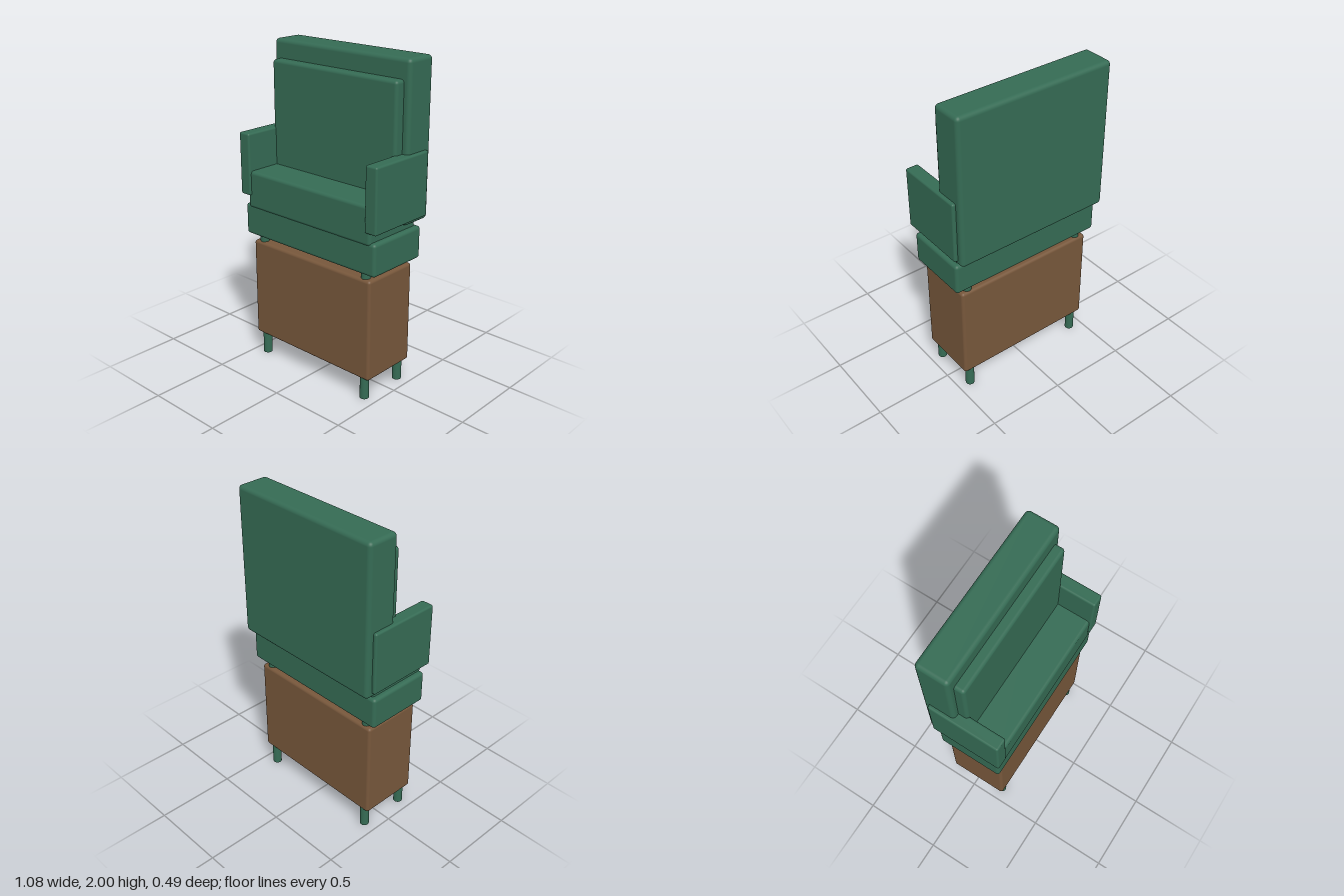
import * as THREE from 'three';
import { RoundedBoxGeometry } from 'three/addons/geometries/RoundedBoxGeometry.js';

export function createModel() {
  const group = new THREE.Group();
  group.name = 'armchairOnCrate';

  const green = new THREE.MeshStandardMaterial({ color: 0x356b54 });
  green.name = 'green upholstery';
  const brown = new THREE.MeshStandardMaterial({ color: 0x77573b });
  brown.name = 'brown wood';

  // Soft-edged block given by its extents on each axis
  function block(name, material, [x0, x1], [y0, y1], [z0, z1], radius) {
    const geometry = new RoundedBoxGeometry(x1 - x0, y1 - y0, z1 - z0, 3, radius);
    const mesh = new THREE.Mesh(geometry, material);
    mesh.name = name;
    mesh.position.set((x0 + x1) / 2, (y0 + y1) / 2, (z0 + z1) / 2);
    group.add(mesh);
  }

  // Lower box and seat base
  block('crate', brown, [-0.473, 0.473], [0.14, 0.78], [-0.168, 0.213], 0.018);
  block('seatBase', green, [-0.52, 0.52], [0.82, 1.02], [-0.185, 0.23], 0.02);

  // Cushions and backrest
  block('seatCushion', green, [-0.488, 0.488], [1.0, 1.235], [-0.168, 0.235], 0.02);
  block('backrest', green, [-0.518, 0.518], [1.05, 2.0], [-0.247, -0.043], 0.025);
  block('backCushion', green, [-0.478, 0.478], [1.15, 1.885], [-0.08, 0.018], 0.02);

  // Arms
  block('leftArm', green, [0.458, 0.54], [1.08, 1.47], [-0.207, 0.247], 0.012);
  block('rightArm', green, [-0.54, -0.458], [1.08, 1.47], [-0.207, 0.247], 0.012);

  // Legs run from the floor through the crate to the seat base
  const legGeometry = new THREE.CylinderGeometry(0.028, 0.028, 0.84, 20);
  for (const x of [-0.415, 0.415]) {
    for (const z of [-0.13, 0.175]) {
      const leg = new THREE.Mesh(legGeometry, green);
      leg.name = (z > 0 ? 'front' : 'back') + (x > 0 ? 'Left' : 'Right') + 'Leg';
      leg.position.set(x, 0.42, z);
      group.add(leg);
    }
  }

  return group;
}
